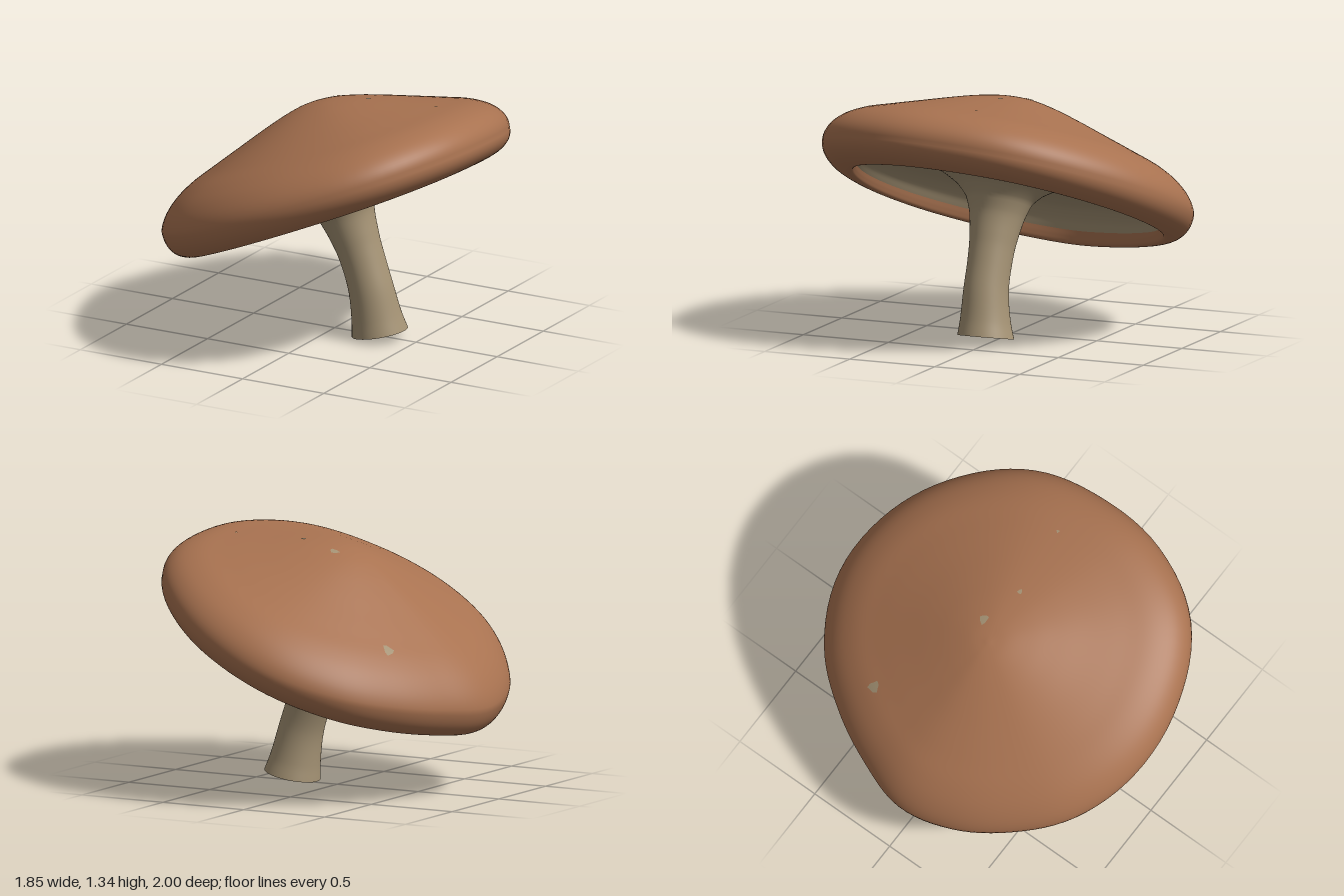
import * as THREE from 'three';
import { mergeVertices } from 'three/addons/utils/BufferGeometryUtils.js';

const brown = new THREE.MeshStandardMaterial({ color: 0xa87250 });
brown.name = 'brown cap';
const tan = new THREE.MeshStandardMaterial({ color: 0xa49274 });
tan.name = 'tan flesh';

// Cap outline: radii around the crown axis every 22.5 degrees, from +x towards +z
const CENTRE_X = -0.12;
const RADII = [1.04, 1.075, 1.10, 1.05, 0.99, 0.92, 0.845, 0.815,
  0.808, 0.777, 0.812, 0.905, 0.99, 1.02, 1.03, 1.045];

function outline(angle) {
  const n = RADII.length;
  const t = ((angle / (2 * Math.PI)) % 1 + 1) % 1 * n;
  const i = Math.floor(t), f = t - i;
  const [a, b, c, d] = [-1, 0, 1, 2].map(k => RADII[(i + k + n) % n]);
  return b + 0.5 * f * (c - a + f * (2 * a - 5 * b + 4 * c - d + f * (3 * (b - c) + d - a)));
}

// Point on the tilted cap: r is the fraction of the outline, h the height above the rim plane.
// Below that plane the rim hangs deeper and reaches further in on the low side.
function capPoint(angle, r, h) {
  const R = outline(angle) * r, below = Math.max(0, -h);
  const x = CENTRE_X + R * Math.cos(angle) + 0.22 * below, z = R * Math.sin(angle);
  return [x, 0.84 + 0.39 * x + 0.05 * z + h + 0.22 * below * Math.cos(angle), z];
}

// Smooth surface around a closed ring; point(angle, v) with v from 0 to 1
function loft(around, along, point) {
  const pos = [], index = [];
  for (let j = 0; j <= along; j++)
    for (let i = 0; i < around; i++) pos.push(...point(i / around * 2 * Math.PI, j / along));
  for (let j = 0; j < along; j++)
    for (let i = 0; i < around; i++) {
      const k = (i + 1) % around;
      const a = j * around + i, b = j * around + k, c = a + around, d = b + around;
      index.push(a, b, c, b, d, c);
    }
  let geo = new THREE.BufferGeometry();
  geo.setAttribute('position', new THREE.Float32BufferAttribute(pos, 3));
  geo.setIndex(index);
  geo = mergeVertices(geo, 1e-5);
  geo.computeVertexNormals();
  return geo;
}

const spline = pts => new THREE.CatmullRomCurve3(pts.map(p => new THREE.Vector3(p[0], p[1], p[2] || 0)));

function capLayer(points, along) {
  const curve = spline(points);
  return loft(96, along, (angle, v) => {
    const p = curve.getPoint(v);
    return capPoint(angle, Math.max(p.x, 0), p.y);
  });
}

const TOP = [[0, 0.472], [0.1, 0.462], [0.22, 0.432], [0.35, 0.388], [0.5, 0.332], [0.67, 0.268],
  [0.82, 0.208], [0.92, 0.142], [0.98, 0.068], [1, 0], [0.985, -0.07], [0.94, -0.125],
  [0.87, -0.155], [0.84, -0.15], [0.828, -0.125], [0.82, -0.095]];
const UNDER = [[0.82, -0.095], [0.79, -0.05], [0.72, 0], [0.6, 0.035], [0.45, 0.045], [0.25, 0.03], [0, 0.03]];

// Stem rings from the flared top to the foot: centre x, y, z, radius, tilt
const STEM = [[0.02, 0.915, 0.03, 0.54, 0.39], [0.03, 0.89, 0.03, 0.44, 0.39], [0.04, 0.85, 0.04, 0.33, 0.4],
  [0.06, 0.797, 0.04, 0.235, 0.4], [0.08, 0.74, 0.04, 0.18, 0.4], [0.105, 0.66, 0.04, 0.15, 0.4],
  [0.15, 0.55, 0.04, 0.13, 0.38], [0.2, 0.42, 0.04, 0.12, 0.32], [0.245, 0.28, 0.04, 0.122, 0.27],
  [0.275, 0.12, 0.03, 0.137, 0.22], [0.29, 0.033, 0.022, 0.153, 0.2]];

function stemPoint(angle, c, scale = 1) {
  const [x, y, z, r, tilt] = c;
  const dx = r * scale * Math.cos(angle) / Math.hypot(1, tilt);
  return [x + dx, y + dx * tilt, z + r * scale * Math.sin(angle)];
}

// Small irregular fleck lying just over the top of the cap
function fleck(x, z, rx, rz) {
  const samples = spline(TOP).getPoints(300).slice(0, 200);
  return loft(9, 2, (angle, v) => {
    const wobble = v * (1 + 0.25 * Math.sin(angle * 3 + x * 9));
    const px = x + rx * wobble * Math.cos(angle), pz = z + rz * wobble * Math.sin(angle);
    const a = Math.atan2(pz, px - CENTRE_X);
    const r = Math.hypot(px - CENTRE_X, pz) / outline(a);
    const k = Math.max(1, samples.findIndex(s => s.x >= r));
    const p = samples[k - 1], q = samples[k];
    const h = p.y + (q.y - p.y) * (r - p.x) / (q.x - p.x);
    return capPoint(a, r, h + 0.003);
  });
}

export function createModel() {
  const group = new THREE.Group();
  group.name = 'mushroom';
  const add = (name, geo, mat) => {
    const mesh = new THREE.Mesh(geo, mat);
    mesh.name = name;
    group.add(mesh);
  };

  // Cap with its rolled rim, and the hollow below
  add('cap', capLayer(TOP, 75), brown);
  add('capUnderside', capLayer(UNDER, 30), tan);

  // Curved stem, flaring into the hollow, with a brown cut end
  const centres = spline(STEM);
  const sizes = spline(STEM.map(s => [s[3], s[4]]));
  add('stem', loft(48, 50, (angle, v) => {
    const c = centres.getPoint(v), s = sizes.getPoint(v);
    return stemPoint(angle, [c.x, c.y, c.z, s.x, s.y]);
  }), tan);
  add('stemEnd', loft(48, 2, (angle, v) => stemPoint(angle, STEM[STEM.length - 1], 1 - v)), brown);

  // Worn flecks on the cap
  [[-0.565, -0.43, 0.026, 0.03], [-0.035, -0.09, 0.026, 0.022],
    [0.195, -0.02, 0.014, 0.012], [0.59, -0.06, 0.008, 0.008]]
    .forEach(f => add('capFleck', fleck(...f), tan));

  return group;
}
